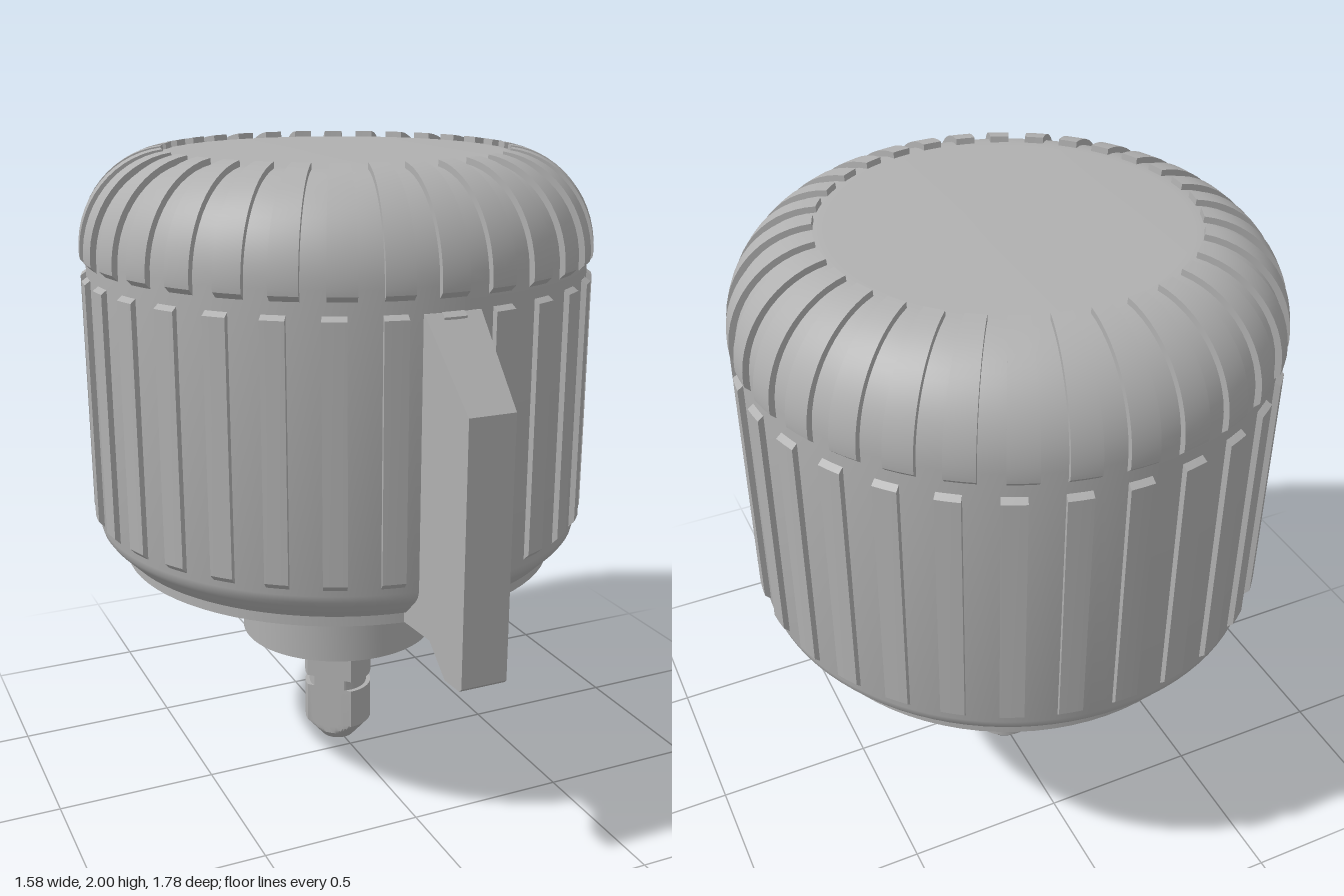
import * as THREE from 'three';
import { toCreasedNormals } from 'three/addons/utils/BufferGeometryUtils.js';

const grey = new THREE.MeshStandardMaterial({ color: 0xb0b0b0 });
grey.name = 'grey';

const deg = Math.PI / 180;
const BODY_R = 0.77, TOP_Y = 1.982;

function part(name, geometry) {
  const mesh = new THREE.Mesh(geometry, grey);
  mesh.name = name;
  return mesh;
}

const vectors = (pairs) => pairs.map(([r, y]) => new THREE.Vector2(r, y));

function lathe(pairs, segments = 96) {
  return toCreasedNormals(new THREE.LatheGeometry(vectors(pairs), segments), 0.5);
}

// Moves every vertex of a geometry by a rule
function remap(geometry, rule) {
  const pos = geometry.attributes.position;
  for (let i = 0; i < pos.count; i++) {
    pos.setXYZ(i, ...rule(pos.getX(i), pos.getY(i), pos.getZ(i)));
  }
  return toCreasedNormals(geometry, 0.5);
}

// Sweeps a (radius, height) outline through a small angle around the axis
function sweptRib(outline, angle) {
  const g = new THREE.ExtrudeGeometry(new THREE.Shape(vectors(outline)),
    { depth: angle, steps: 2, bevelEnabled: false });
  return remap(g, (r, y, a) => {
    const t = a - angle / 2;
    return [-r * Math.sin(t), y, r * Math.cos(t)];
  });
}

function ribRing(name, geometry, count) {
  const ring = new THREE.Group();
  ring.name = name + 's';
  for (let i = 0; i < count; i++) {
    const rib = part(name, geometry);
    rib.rotation.y = (i / count) * Math.PI * 2;
    ring.add(rib);
  }
  return ring;
}

// Quarter ellipse of the shoulder, from the wall up to the top, grown by d
function shoulder(d, from = 0, to = 90, steps = 14) {
  const points = [];
  for (let i = 0; i <= steps; i++) {
    const a = (from + (to - from) * i / steps) * deg;
    points.push([0.5 + (BODY_R - 0.5 + d) * Math.cos(a), 1.7 + (TOP_Y - 1.7 + d) * Math.sin(a)]);
  }
  return points;
}

// Bottom plate with a curved slot and a row of round holes
function basePlate() {
  const shape = new THREE.Shape();
  shape.absarc(0, 0, 0.69, 0, Math.PI * 2);

  const start = -48 * deg, end = 85 * deg, inner = 0.385, outer = 0.605;
  const mid = (inner + outer) / 2, cap = (outer - inner) / 2;
  const slot = new THREE.Path();
  slot.absarc(0, 0, outer, start, end, false);
  slot.absarc(mid * Math.cos(end), mid * Math.sin(end), cap, end, end + Math.PI, false);
  slot.absarc(0, 0, inner, end, start, true);
  slot.absarc(mid * Math.cos(start), mid * Math.sin(start), cap, start + Math.PI, start + Math.PI * 2, false);
  shape.holes.push(slot);

  for (let i = 0; i < 9; i++) {
    const a = (121 + i * 18.2) * deg;
    const hole = new THREE.Path();
    hole.absarc(0.54 * Math.cos(a), 0.54 * Math.sin(a), 0.064, 0, Math.PI * 2);
    shape.holes.push(hole);
  }
  const g = new THREE.ExtrudeGeometry(shape, { depth: 0.235, bevelEnabled: false, curveSegments: 40 });
  g.rotateX(-Math.PI / 2);
  g.translate(0, 0.715, 0);
  return toCreasedNormals(g, 0.5);
}

// Pointer fin, slightly narrower towards its outer edge
function pointer() {
  const outline = [[0.6, 0.717], [0.825, 0.717], [0.91, 0.632], [0.985, 0.632], [0.995, 0.642],
    [0.995, 1.405], [0.77, 1.63], [0.6, 1.63]];
  const g = new THREE.ExtrudeGeometry(new THREE.Shape(vectors(outline)), { depth: 1, bevelEnabled: false });
  return remap(g, (s, y, t) => {
    const half = 0.07 + (0.995 - s) * 0.065;
    return [-(t - 0.5) * 2 * half, y, s];
  });
}

// Grooved shaft with a cone tip and one flat cut across a front corner
function shaft() {
  const profile = [[0, 0], [0.055, 0], [0.07, 0.0175], [0.08, 0.029], [0.09, 0.041], [0.1, 0.053],
    [0.112, 0.066], [0.112, 0.2], [0.097, 0.2], [0.097, 0.235], [0.112, 0.235], [0.112, 0.44]];
  const n = Math.SQRT1_2, limit = 0.112 * n;
  return remap(new THREE.LatheGeometry(vectors(profile), 64), (x, y, z) => {
    const over = Math.max(0, (z - x) * n - limit);
    return [x + over * n, y, z - over * n];
  });
}

export function createModel() {
  const model = new THREE.Group();
  model.name = 'controlKnob';
  const knob = new THREE.Group();
  knob.name = 'knob';
  knob.position.z = -0.105;
  model.add(knob);

  // Main shell: lower lip, chamfer, wall, rounded shoulder and flat top
  knob.add(part('body', lathe([[0.685, 0.75], [0.7, 0.75], [0.752, 0.803], [0.764, 0.82],
    [BODY_R, 0.842], ...shoulder(0), [0, TOP_Y]])));

  // Grip ribs on the wall
  const outer = BODY_R + 0.017, inside = BODY_R - 0.02;
  const wallRib = sweptRib([[inside, 0.86], [BODY_R, 0.86], [outer, 0.878], [outer, 1.62],
    [BODY_R, 1.632], [inside, 1.632]], 5 * deg);
  knob.add(ribRing('wallRib', wallRib, 30));

  // Ribs curving over the shoulder
  const topRib = sweptRib([[inside, 1.668], [BODY_R, 1.668], [outer, 1.685],
    ...shoulder(0.018, 0, 84), ...shoulder(-0.02, 84, 0)], 6 * deg);
  knob.add(ribRing('shoulderRib', topRib, 32));

  knob.add(part('pointer', pointer()));

  // Underside
  knob.add(part('basePlate', basePlate()));
  const ceiling = new THREE.CylinderGeometry(0.685, 0.685, 0.02, 64);
  ceiling.translate(0, 0.96, 0);
  knob.add(part('pocketCeiling', ceiling));
  knob.add(part('hub', lathe([[0, 0.42], [0.318, 0.42], [0.318, 0.72]])));
  knob.add(part('shaft', shaft()));

  return model;
}
